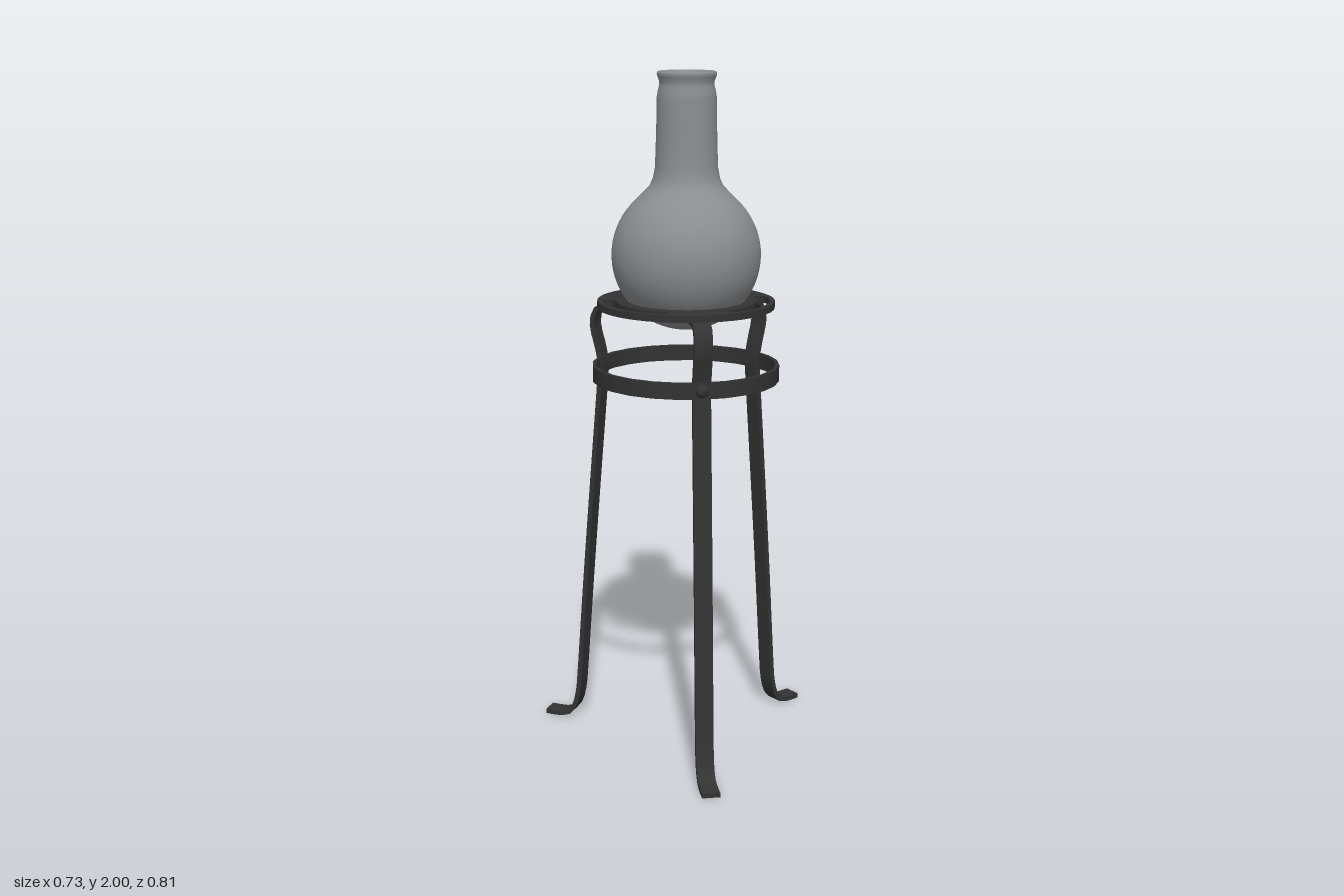
import * as THREE from 'three';
import { toCreasedNormals } from 'three/addons/utils/BufferGeometryUtils.js';

const V = (x, y) => new THREE.Vector2(x, y);

// Closed side profile of a bent strip with constant thickness
function stripShape(points, thickness) {
  const curve = new THREE.SplineCurve(points);
  const a = [], b = [], n = 56;
  for (let i = 0; i <= n; i++) {
    const p = curve.getPointAt(i / n), t = curve.getTangentAt(i / n);
    const off = V(-t.y, t.x).multiplyScalar(thickness / 2);
    a.push(p.clone().add(off));
    b.push(p.clone().sub(off));
  }
  return new THREE.Shape([...a, ...b.reverse()]);
}

// Curved slot with rounded ends
function slot(mid, half, r0, r1) {
  const path = new THREE.Path(), rm = (r0 + r1) / 2, rc = (r1 - r0) / 2;
  const s = mid - half, e = mid + half;
  path.absarc(0, 0, r1, s, e, false);
  path.absarc(rm * Math.cos(e), rm * Math.sin(e), rc, e, e + Math.PI, false);
  path.absarc(0, 0, r0, e, s, true);
  path.absarc(rm * Math.cos(s), rm * Math.sin(s), rc, s + Math.PI, s + 2 * Math.PI, false);
  return path;
}

export function createModel() {
  const glass = new THREE.MeshStandardMaterial({ color: 0x8b8d8f });
  glass.name = 'grey glass';
  const iron = new THREE.MeshStandardMaterial({ color: 0x333333 });
  iron.name = 'dark iron';

  const model = new THREE.Group();
  model.name = 'flaskOnTripod';
  const body = new THREE.Group();
  body.name = 'stand';
  body.position.x = 0.089;
  model.add(body);
  const add = (name, geometry, material, parent = body) => {
    const mesh = new THREE.Mesh(geometry, material);
    mesh.name = name;
    parent.add(mesh);
    return mesh;
  };

  // Round-bottomed flask: outer bowl, neck, rolled lip, then the inner wall
  const cy = 1.48, R = 0.215, profile = [];
  for (let i = 0; i <= 26; i++) {
    const a = -Math.PI / 2 + (i / 26) * 2.39;
    profile.push(V(Math.max(0, R * Math.cos(a)), cy + R * Math.sin(a)));
  }
  profile.push(
    V(0.122, 1.662), V(0.105, 1.68), V(0.096, 1.7), V(0.09, 1.73), V(0.088, 1.78),
    V(0.086, 1.85), V(0.085, 1.925), V(0.082, 1.945), V(0.078, 1.96), V(0.078, 1.972),
    V(0.083, 1.984), V(0.085, 1.992), V(0.083, 1.998), V(0.078, 2.0), V(0.07, 1.993),
    V(0.064, 1.975), V(0.062, 1.955), V(0.066, 1.93), V(0.074, 1.9), V(0.076, 1.72));
  for (let i = 0; i <= 16; i++) {
    const a = 1.15 - (i / 16) * (1.15 + Math.PI / 2);
    profile.push(V(Math.max(0, 0.2 * Math.cos(a)), cy + 0.2 * Math.sin(a)));
  }
  add('flask', new THREE.LatheGeometry(profile, 56), glass);

  // Top plate with a centre hole and three curved slots
  const plate = new THREE.Shape();
  plate.absarc(0, 0, 0.257, 0, Math.PI * 2, false);
  const hole = new THREE.Path();
  hole.absarc(0, 0, 0.163, 0, Math.PI * 2, true);
  plate.holes.push(hole);
  for (let i = 0; i < 3; i++) plate.holes.push(slot(i * Math.PI * 2 / 3, 0.58, 0.205, 0.241));
  const plateGeo = new THREE.ExtrudeGeometry(plate, { depth: 0.02, bevelEnabled: false, curveSegments: 28 });
  plateGeo.rotateX(-Math.PI / 2).translate(0, 1.329, 0);
  add('topPlate', toCreasedNormals(plateGeo, 0.6), iron);

  // Lower band around the legs
  const band = [V(0.262, 1.115), V(0.273, 1.115), V(0.273, 1.162), V(0.262, 1.162), V(0.262, 1.115)];
  add('lowerBand', toCreasedNormals(new THREE.LatheGeometry(band, 24), 0.5), iron);

  // Three bent strip legs, each riveted to the band
  const legShape = stripShape([
    V(0.455, 0.008), V(0.42, 0.008), V(0.385, 0.012), V(0.36, 0.038), V(0.346, 0.085), V(0.338, 0.16),
    V(0.314, 0.48), V(0.288, 0.8), V(0.263, 1.1), V(0.262, 1.15), V(0.272, 1.2), V(0.285, 1.25),
    V(0.284, 1.285), V(0.27, 1.312), V(0.245, 1.322), V(0.198, 1.323)], 0.014);
  const legGeo = new THREE.ExtrudeGeometry(legShape, { depth: 0.052, bevelEnabled: false });
  legGeo.translate(0, 0, -0.026);
  const legSmooth = toCreasedNormals(legGeo, 0.6);
  const rivetGeo = new THREE.SphereGeometry(0.018, 16, 10);
  rivetGeo.scale(0.75, 1, 1).translate(0.272, 1.138, 0);
  for (const angle of [Math.PI, Math.PI / 3, -Math.PI / 3]) {
    const leg = new THREE.Group();
    leg.name = 'leg';
    leg.rotation.y = angle;
    add('legStrip', legSmooth, iron, leg);
    add('rivet', rivetGeo, iron, leg);
    body.add(leg);
  }
  return model;
}
